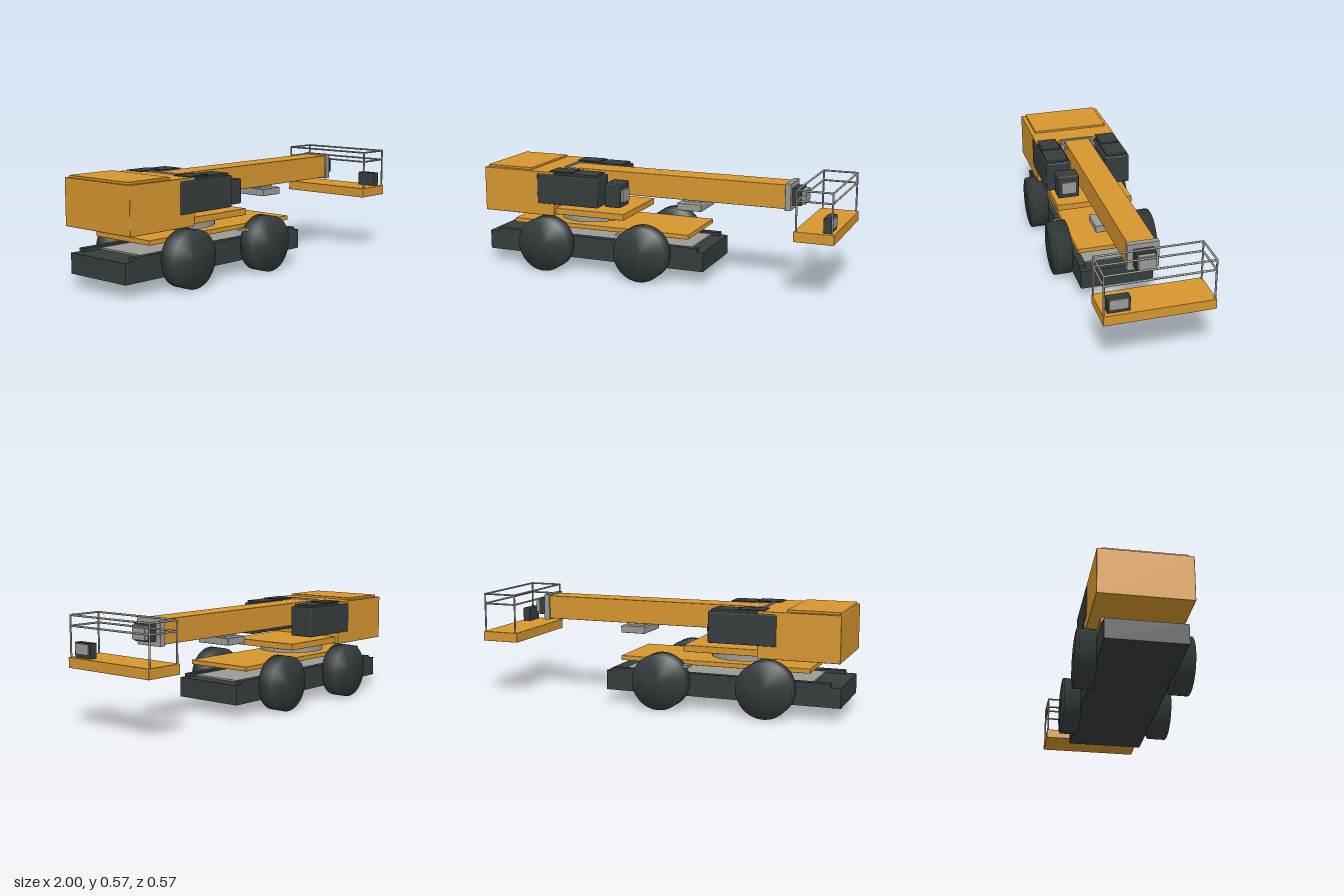
import * as THREE from 'three';
import { mergeVertices } from 'three/addons/utils/BufferGeometryUtils.js';
import { RoundedBoxGeometry } from 'three/addons/geometries/RoundedBoxGeometry.js';

const mat = (name, color) => {
  const m = new THREE.MeshStandardMaterial({ color });
  m.name = name;
  return m;
};

export function createModel() {
  const root = new THREE.Group();
  root.name = 'boomLift';
  const orange = mat('orange paint', 0xd6962f);
  const dark = mat('charcoal', 0x353c3d);
  const grey = mat('grey metal', 0x9a9b95);

  const add = (name, geometry, material, x, y, z) => {
    const mesh = new THREE.Mesh(geometry, material);
    mesh.name = name;
    mesh.position.set(x, y, z);
    root.add(mesh);
    return mesh;
  };
  // Box given by its limits, with an optional rounded edge
  const box = (name, material, x0, x1, y0, y1, z0, z1, r = 0) => {
    const s = [x1 - x0, y1 - y0, z1 - z0];
    const g = r ? new RoundedBoxGeometry(...s, 2, r) : new THREE.BoxGeometry(...s);
    return add(name, g, material, (x0 + x1) / 2, (y0 + y1) / 2, (z0 + z1) / 2);
  };
  // The same box on both sides
  const pair = (name, material, x0, x1, y0, y1, z0, z1, r = 0) => {
    box(name + 'Left', material, x0, x1, y0, y1, z0, z1, r);
    box(name + 'Right', material, x0, x1, y0, y1, -z1, -z0, r);
  };
  // Round bar between two points
  const bar = (name, a, b, r) => {
    const p = new THREE.Vector3(...a), q = new THREE.Vector3(...b);
    const d = q.clone().sub(p);
    const mid = p.clone().add(q).multiplyScalar(0.5);
    const mesh = add(name, new THREE.CylinderGeometry(r, r, d.length(), 10), grey, mid.x, mid.y, mid.z);
    mesh.quaternion.setFromUnitVectors(new THREE.Vector3(0, 1, 0), d.normalize());
  };

  // Chassis
  box('chassis', dark, -1, 0.285, 0.07, 0.175, -0.2, 0.2);
  pair('chassisRail', dark, -0.945, 0.25, 0.175, 0.193, 0.162, 0.2);
  box('chassisDeckPlate', grey, -0.84, 0.2, 0.175, 0.183, -0.16, 0.16);

  // Wheels, with normals blended across tread and sides
  let wheel = new THREE.CylinderGeometry(0.149, 0.149, 0.09, 48);
  wheel.rotateX(Math.PI / 2);
  wheel.deleteAttribute('normal');
  wheel.deleteAttribute('uv');
  wheel = mergeVertices(wheel, 1e-4);
  wheel.computeVertexNormals();
  for (const x of [-0.62, -0.047])
    for (const s of [-1, 1]) add('wheel', wheel, dark, x, 0.149, s * 0.24);

  // Carrier deck and turntable
  box('carrierDeck', orange, -0.84, 0.2, 0.237, 0.262, -0.195, 0.195, 0.003);
  pair('deckBracket', grey, -0.2, -0.165, 0.228, 0.242, 0.18, 0.24);
  add('slewRing', new THREE.CylinderGeometry(0.18, 0.18, 0.038, 48), grey, -0.44, 0.291, 0);
  box('turntablePlate', orange, -0.6, -0.165, 0.31, 0.345, -0.215, 0.215, 0.003);

  // Counterweight body and its lid
  box('counterweight', orange, -1, -0.57, 0.304, 0.548, -0.237, 0.237, 0.004);
  box('counterweightLid', orange, -0.99, -0.715, 0.546, 0.56, -0.213, 0.213, 0.004);

  // Equipment cabinets beside the boom
  pair('cabinet', dark, -0.67, -0.305, 0.37, 0.535, 0.1, 0.241, 0.006);
  pair('cabinetLid', dark, -0.6, -0.32, 0.533, 0.547, 0.113, 0.233, 0.003);
  pair('cabinetCap', dark, -0.6, -0.465, 0.546, 0.552, 0.12, 0.225);

  // Ground control box
  box('controlBox', dark, -0.28, -0.19, 0.373, 0.504, 0.083, 0.202, 0.006);
  box('controlPanel', grey, -0.192, -0.178, 0.402, 0.47, 0.102, 0.184);

  // Boom and fittings
  box('boom', orange, -0.58, 0.7, 0.42, 0.548, -0.072, 0.072, 0.003);
  box('boomRearCollar', grey, -0.575, -0.562, 0.41, 0.556, -0.095, 0.095);
  for (const s of [-1, 1]) bar('boomRod', [-0.57, 0.543, s * 0.084], [-0.465, 0.543, s * 0.084], 0.006);
  box('underBoomBox', grey, 0.1, 0.24, 0.37, 0.409, -0.105, 0.105, 0.004);
  box('boomNeck', grey, 0.12, 0.22, 0.405, 0.424, -0.06, 0.06);
  box('boomEndCollar', grey, 0.688, 0.72, 0.413, 0.556, -0.082, 0.082, 0.003);
  box('boomJoint', dark, 0.718, 0.767, 0.438, 0.53, -0.053, 0.053, 0.003);
  box('boomTip', grey, 0.765, 0.79, 0.447, 0.522, -0.045, 0.045, 0.003);

  // Work platform with guard rails
  box('platformFloor', orange, 0.79, 0.998, 0.307, 0.36, -0.28, 0.28, 0.002);
  const xs = [0.802, 0.985], zs = [-0.274, 0.274];
  for (const x of xs) for (const z of zs) bar('railPost', [x, 0.33, z], [x, 0.572, z], 0.005);
  for (const y of [0.516, 0.569]) {
    for (const x of xs) bar('guardRail', [x, y, zs[0]], [x, y, zs[1]], 0.005);
    for (const z of zs) bar('guardRail', [xs[0], y, z], [xs[1], y, z], 0.005);
  }
  box('platformControlBox', dark, 0.935, 0.978, 0.36, 0.437, 0.141, 0.255, 0.004);
  box('platformControlPanel', grey, 0.976, 0.983, 0.378, 0.432, 0.152, 0.246);

  return root;
}
